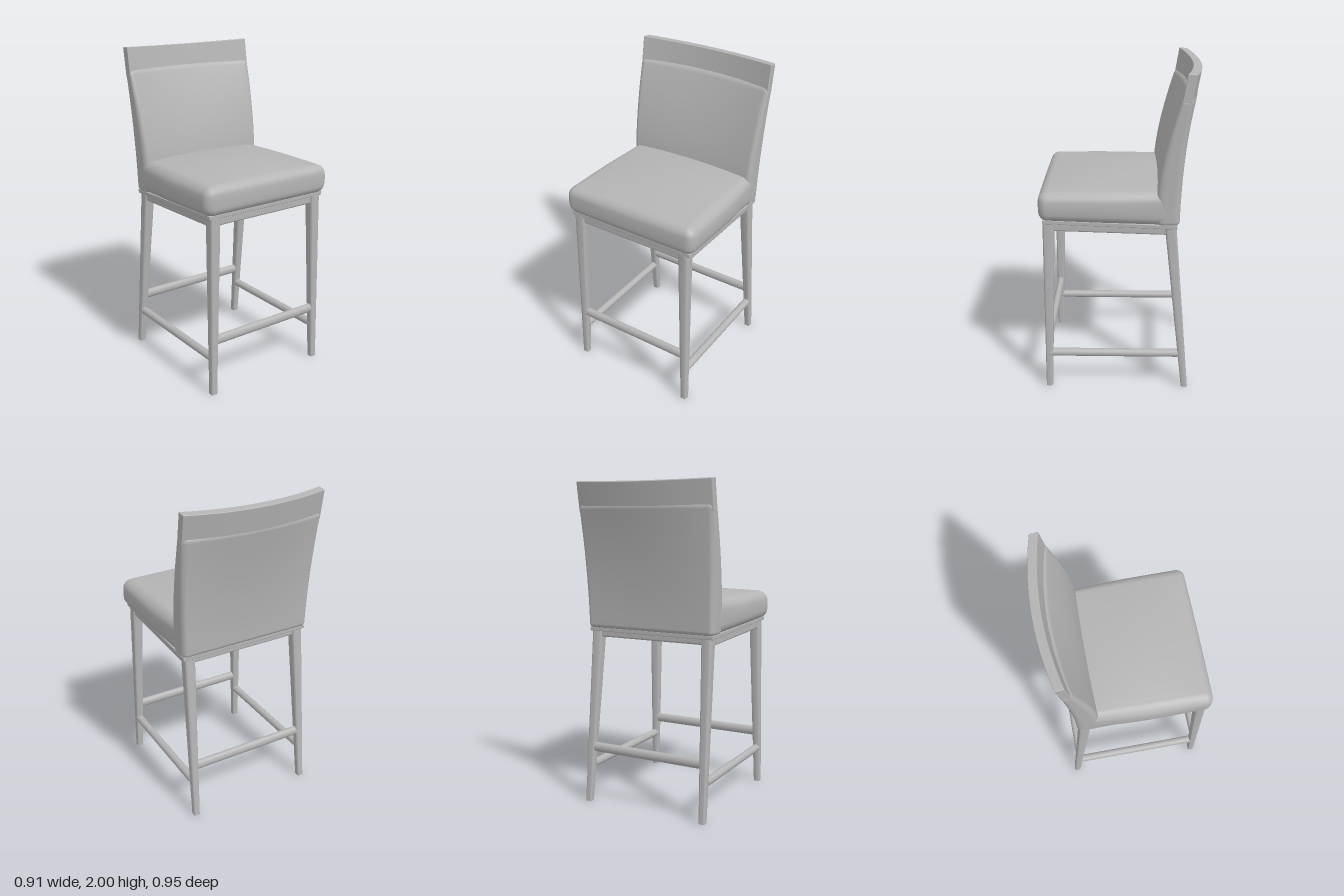
import * as THREE from 'three';
import { mergeVertices, toCreasedNormals } from 'three/addons/utils/BufferGeometryUtils.js';

const grey = new THREE.MeshStandardMaterial({ color: 0xb4b4b4 });
grey.name = 'plain grey';

const lerp = THREE.MathUtils.lerp;
const clamp01 = t => Math.min(1, Math.max(0, t));
// The frame drops slightly towards the back
const slope = z => 0.03 * (z - 0.45) / 0.8;

// Rounded box with evenly stepped corner arcs, reshaped by warp(p, u) where u is p scaled to -1..1
function softBox(w, h, d, r, mid, warp) {
  const K = 3;
  const half = [w / 2, h / 2, d / 2];
  const segs = mid.map(m => m + 2 * K);
  const geo = new THREE.BoxGeometry(2, 2, 2, ...segs);
  geo.deleteAttribute('uv');
  geo.deleteAttribute('normal');
  const place = (t, axis) => {
    const n = segs[axis], i = Math.round((t + 1) / 2 * n), a = half[axis];
    const arc = j => a - r + r * Math.tan((1 - j / K) * Math.PI / 4);
    if (i < K) return -arc(i);
    if (i > n - K) return arc(n - i);
    return (a - r) * (2 * (i - K) / mid[axis] - 1);
  };
  const pos = geo.attributes.position;
  const p = new THREE.Vector3(), core = new THREE.Vector3(), u = new THREE.Vector3();
  const inner = new THREE.Vector3(...half.map(a => a - r));
  const outer = inner.clone().negate();
  const unit = t => Math.min(1, Math.max(-1, t));
  for (let i = 0; i < pos.count; i++) {
    p.set(place(pos.getX(i), 0), place(pos.getY(i), 1), place(pos.getZ(i), 2));
    core.copy(p).clamp(outer, inner);
    p.sub(core).normalize().multiplyScalar(r).add(core);
    u.set(unit(p.x / half[0]), unit(p.y / half[1]), unit(p.z / half[2]));
    warp(p, u);
    pos.setXYZ(i, p.x, p.y, p.z);
  }
  const out = mergeVertices(geo, 1e-5);
  out.computeVertexNormals();
  return out;
}

// Tapered, splayed leg with a rounded square section and flat ends
function legGeometry(side, footZ, headZ, topY) {
  const a = 0.5, c = 0.22;
  const section = new THREE.Shape();
  section.absarc(a - c, a - c, c, 0, Math.PI / 2);
  section.absarc(c - a, a - c, c, Math.PI / 2, Math.PI);
  section.absarc(c - a, c - a, c, Math.PI, Math.PI * 1.5);
  section.absarc(a - c, c - a, c, Math.PI * 1.5, Math.PI * 2);
  const geo = new THREE.ExtrudeGeometry(section, { depth: 1, bevelEnabled: false, curveSegments: 5 });
  geo.rotateX(-Math.PI / 2);
  const pos = geo.attributes.position;
  for (let i = 0; i < pos.count; i++) {
    const t = pos.getY(i);
    const size = lerp(0.04, 0.068, t);
    pos.setXYZ(i,
      side * lerp(0.4, 0.377, t) + pos.getX(i) * size,
      t * topY,
      lerp(footZ, headZ, t) + pos.getZ(i) * size);
  }
  return toCreasedNormals(geo, 0.6);
}

export function createModel() {
  const chair = new THREE.Group();
  chair.name = 'barChair';
  const add = (name, geo) => {
    const mesh = new THREE.Mesh(geo, grey);
    mesh.name = name;
    chair.add(mesh);
    return mesh;
  };

  // Seat cushion: domed top, bulging sides, narrower at the back
  add('seatCushion', softBox(0.88, 0.18, 0.815, 0.05, [16, 4, 16], (p, u) => {
    const bulge = 1 - u.y * u.y;
    const z = p.z + 0.0625;
    const width = lerp(0.975, 1.0, clamp01((z + 0.3) / 0.4));
    p.x *= width * (1 + 0.036 * bulge * clamp01((z + 0.35) / 0.35));
    p.z = z + 0.008 * bulge * clamp01(u.z) * (1 - 0.5 * u.x * u.x);
    const top = (u.y + 1) / 2;
    const dome = (1 - u.x * u.x) * (1 - u.z * u.z);
    p.y += 1.217 + 0.032 * top * dome + slope(z) * (1 - top);
  }));

  // Backrest: leans back and becomes bowed towards the top
  add('backrest', softBox(0.87, 0.765, 0.1, 0.03, [16, 14, 2], (p, u) => {
    const v = (u.y + 1) / 2;
    p.y += 1.4825;
    const lean = Math.pow(clamp01((p.y - 1.25) / 0.61), 1.6);
    const bow = 0.053 * Math.pow(v, 1.5) * (1 - u.x * u.x);
    const front = -0.215 - 0.125 * lean;
    const rear = -0.352 - 0.055 * v * v;
    p.z = lerp(rear, front, (u.z + 1) / 2) - bow;
    p.x *= 0.99 + 0.05 * v;
    p.y -= 0.008 * v * (1 - u.z) / 2;
  }));

  // Curved rail on top of the backrest
  add('topRail', softBox(0.9, 0.18, 0.052, 0.005, [20, 2, 1], (p, u) => {
    const arch = 1 - u.x * u.x;
    const v = (u.y + 1) / 2;
    p.z += lerp(-0.367, -0.396, v) - 0.055 * arch;
    p.y += 1.91 - 0.010 * v * arch - 0.006 * (1 - u.z) / 2;
  }));

  // Thin board under the upholstery
  add('seatBoard', softBox(0.85, 0.025, 0.79, 0.004, [1, 1, 1], p => {
    p.z += 0.057;
    p.y += 1.126 + slope(p.z);
  }));

  // Legs, side aprons and side stretchers, mirrored left and right
  for (const [label, s] of [['left', 1], ['right', -1]]) {
    add(label + 'FrontLeg', legGeometry(s, 0.445, 0.419, 1.12));
    add(label + 'RearLeg', legGeometry(s, -0.41, -0.3, 1.1));
    add(label + 'Apron', softBox(0.05, 0.065, 0.7, 0.012, [1, 1, 1], p => {
      p.x += s * 0.377;
      p.z += 0.06;
      p.y += 1.093 + slope(p.z) * 0.8;
    }));
    const bar = add(label + 'Stretcher', new THREE.CylinderGeometry(0.025, 0.025, 0.8, 20));
    bar.rotation.x = Math.PI / 2;
    bar.position.set(s * 0.395, 0.235, 0.035);
  }

  // Front and rear aprons and stretchers
  for (const [label, apronZ, barZ] of [['front', 0.415, 0.437], ['rear', -0.3, -0.375]]) {
    add(label + 'Apron', softBox(0.72, 0.06, 0.05, 0.012, [1, 1, 1], p => {
      p.z += apronZ;
      p.y += 1.095 + slope(p.z) * 0.6;
    }));
    const bar = add(label + 'Stretcher', new THREE.CylinderGeometry(0.03, 0.03, 0.77, 20));
    bar.rotation.z = Math.PI / 2;
    bar.scale.z = 0.75;
    bar.position.set(0, 0.35, barZ);
  }
  return chair;
}
